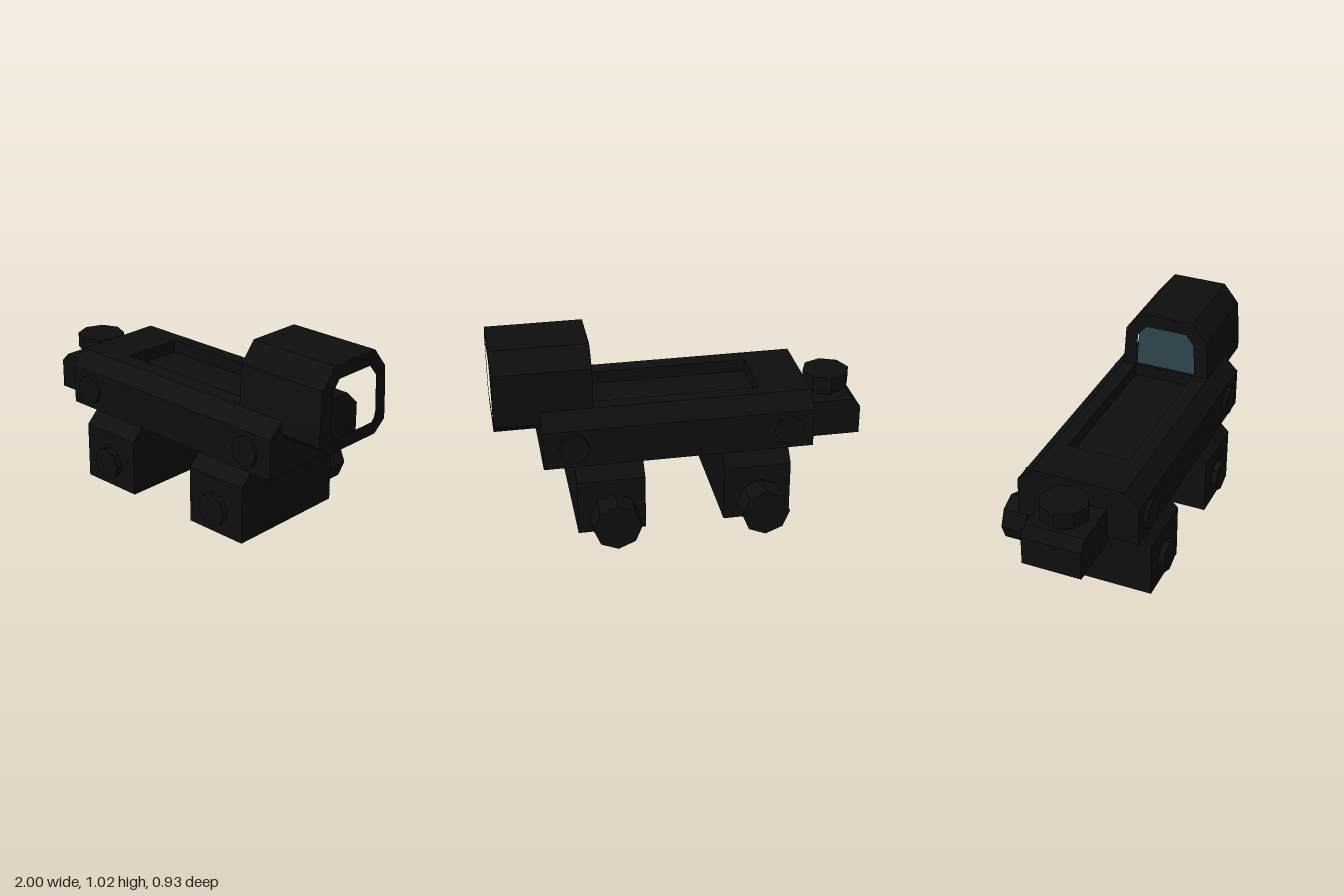
import * as THREE from 'three';

const black = new THREE.MeshStandardMaterial({ color: 0x0e0e0e, flatShading: true });
black.name = 'matte black';
const glass = new THREE.MeshStandardMaterial({ color: 0x2f444d, side: THREE.DoubleSide });
glass.name = 'tinted glass';

const MID = 0.075; // z of the sight's centre plane

// Outline from [z, y] points; the shape's x axis becomes -z after turning
const outline = (pts) => new THREE.Shape(pts.map(([z, y]) => new THREE.Vector2(-z, y)));

export function createModel() {
  const model = new THREE.Group();
  const add = (name, geometry, material = black) => {
    const mesh = new THREE.Mesh(geometry, material);
    mesh.name = name;
    model.add(mesh);
    return mesh;
  };

  // Extrude a [z, y] outline along x from x0 to x1, with an optional hole
  const prism = (name, pts, x0, x1, hole) => {
    const shape = outline(pts);
    if (hole) shape.holes.push(outline(hole));
    const geo = new THREE.ExtrudeGeometry(shape, { depth: x1 - x0, bevelEnabled: false });
    return add(name, geo.rotateY(Math.PI / 2).translate(x0, 0, 0));
  };

  // Octagonal rod along z
  const rodZ = (name, x, y, r, z0, z1) => {
    const geo = new THREE.CylinderGeometry(r, r, z1 - z0, 8).rotateX(Math.PI / 2);
    return add(name, geo.translate(x, y, (z0 + z1) / 2));
  };

  // Main body: solid ends and a channelled middle
  const lower = [[0.33, 0.7], [0.41, 0.62], [0.41, 0.405], [-0.26, 0.405], [-0.26, 0.62], [-0.175, 0.7]];
  const channel = [[-0.1, 0.7], [-0.1, 0.63], [0.24, 0.63], [0.24, 0.7]];
  prism('bodyRear', lower, -0.69, -0.42);
  prism('bodyChannel', [...lower, ...channel], -0.42, 0.48);
  prism('bodyFront', lower, 0.48, 0.76);

  // Lens hood, open at the far end
  const opening = [[0.25, 0.7], [0.24, 0.89], [0.195, 0.95], [-0.04, 0.95], [-0.09, 0.89], [-0.1, 0.7]];
  prism('hood',
    [[0.33, 0.7], [0.315, 0.92], [0.23, 1.025], [-0.075, 1.025], [-0.16, 0.92], [-0.175, 0.7],
      [-0.175, 0.63], [-0.1, 0.57], [0.25, 0.57], [0.33, 0.63]],
    0.48, 1, [...opening, [-0.09, 0.66], [-0.07, 0.64], [0.22, 0.64], [0.24, 0.66]]);

  const face = (name, pts, x, material) =>
    add(name, new THREE.ShapeGeometry(outline(pts)).rotateY(Math.PI / 2).translate(x, 0, 0), material);
  face('lens', opening, 0.495, glass);

  // Aiming mark: centre dot and a bracket on each side
  const mark = (name, pts) => face(name, pts.map(([z, y]) => [z + 0.078, y + 0.83]), 0.5, black);
  mark('aimDot', [[0.018, 0.005], [0.01, 0.013], [-0.01, 0.013], [-0.018, 0.005],
    [-0.018, -0.005], [-0.01, -0.013], [0.01, -0.013], [0.018, -0.005]]);
  for (const s of [1, -1]) {
    mark('aimBracket', [[0.045, 0.018], [0.026, 0.026], [0.026, -0.026], [0.045, -0.018],
      [0.037, -0.007], [0.037, 0.007]].map(([z, y]) => [s * z, y]));
  }

  // Clamp feet with a bolt head on one side and a knob on the other
  for (const x of [-0.385, 0.41]) {
    prism('clampFoot',
      [[0.33, 0.41], [0.43, 0.31], [0.43, 0], [-0.27, 0], [-0.27, 0.31], [-0.175, 0.41]],
      x - 0.183, x + 0.183);
    rodZ('clampBolt', x - 0.005, 0.135, 0.09, -0.34, 0.463);
    rodZ('clampKnob', x - 0.005, 0.135, 0.13, -0.465, -0.33);
  }

  // Cross pins through the body
  for (const x of [-0.555, 0.598]) rodZ('crossPin', x, 0.517, 0.083, -0.278, 0.43);

  // Adjustment block at the rear, with its end edge chamfered
  const side = new THREE.Shape([[-1, 0.36], [-0.67, 0.36], [-0.67, 0.57], [-0.95, 0.57], [-1, 0.52]]
    .map(([x, y]) => new THREE.Vector2(x, y)));
  add('adjusterBlock', new THREE.ExtrudeGeometry(side, { depth: 0.325, bevelEnabled: false })
    .translate(0, 0, -0.09));

  // Adjustment knob on a short neck
  add('adjusterNeck', new THREE.CylinderGeometry(0.09, 0.09, 0.06, 8).translate(-0.84, 0.585, MID));
  add('adjusterKnob', new THREE.CylinderGeometry(0.13, 0.13, 0.083, 8).translate(-0.84, 0.645, MID));

  return model;
}
